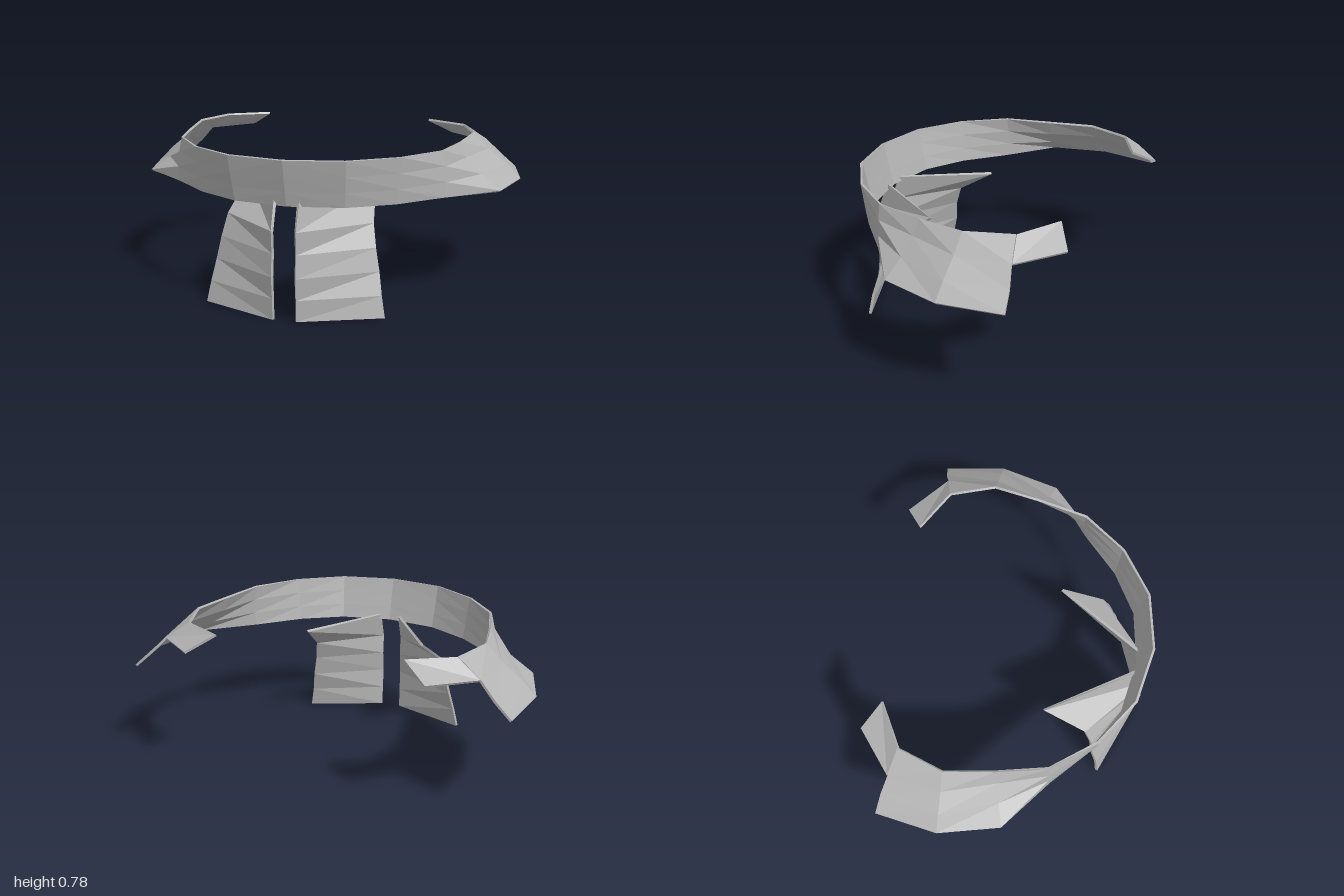
import * as THREE from 'three';

const metal = new THREE.MeshStandardMaterial({ color: 0xb4b4b4 });
metal.name = 'plain grey';

// Closed thin plate from a grid of points: grid[column][row] = [x, y, z]
function plate(name, grid, thickness = 0.012) {
  const nc = grid.length, nr = grid[0].length, n = nc * nr;
  const at = (c, r) => c * nr + r;
  const faces = [];
  for (let c = 0; c < nc - 1; c++) {
    for (let r = 0; r < nr - 1; r++) {
      const a = at(c, r), b = at(c + 1, r), d = at(c, r + 1), e = at(c + 1, r + 1);
      // diagonals mirror about the middle column
      if (c < (nc - 1) / 2) faces.push(a, b, e, a, e, d);
      else faces.push(a, b, d, b, e, d);
    }
  }
  const mid = new THREE.BufferGeometry();
  mid.setAttribute('position', new THREE.Float32BufferAttribute(grid.flat(2), 3));
  mid.setIndex(faces);
  mid.computeVertexNormals();

  // offset the sheet to both sides
  const pos = [], p = new THREE.Vector3(), q = new THREE.Vector3();
  for (const side of [1, -1]) {
    for (let i = 0; i < n; i++) {
      p.fromBufferAttribute(mid.attributes.position, i);
      q.fromBufferAttribute(mid.attributes.normal, i);
      p.addScaledVector(q, side * thickness / 2);
      pos.push(p.x, p.y, p.z);
    }
  }
  const index = [...faces];
  for (let i = 0; i < faces.length; i += 3) index.push(faces[i] + n, faces[i + 2] + n, faces[i + 1] + n);

  // rim around the border
  const loop = [];
  for (let c = 0; c < nc - 1; c++) loop.push(at(c, 0));
  for (let r = 0; r < nr - 1; r++) loop.push(at(nc - 1, r));
  for (let c = nc - 1; c > 0; c--) loop.push(at(c, nr - 1));
  for (let r = nr - 1; r > 0; r--) loop.push(at(0, r));
  loop.forEach((a, i) => {
    const b = loop[(i + 1) % loop.length];
    index.push(a, a + n, b + n, a, b + n, b);
  });

  const solid = new THREE.BufferGeometry();
  solid.setAttribute('position', new THREE.Float32BufferAttribute(pos, 3));
  solid.setIndex(index);
  const flat = solid.toNonIndexed();
  flat.computeVertexNormals();
  const mesh = new THREE.Mesh(flat, metal);
  mesh.name = name;
  return mesh;
}

const mirror = (column) => column.map(([x, y, z]) => [-x, y, z]);

export function createModel() {
  const group = new THREE.Group();
  group.name = 'collarWithFlaps';

  // Collar: [x, z] of each column at four heights, bottom to top, from the front centre to the back end
  const heights = [0.543, 0.615, 0.692, 0.768];
  const half = [
    [[0, 0.6], [0, 0.618], [0, 0.637], [0, 0.655]],
    [[0.265, 0.555], [0.27, 0.57], [0.275, 0.587], [0.278, 0.602]],
    [[0.475, 0.432], [0.485, 0.438], [0.492, 0.444], [0.5, 0.45]],
    [[0.67, 0.25], [0.68, 0.24], [0.672, 0.24], [0.657, 0.24]],
    [[0.92, 0.055], [0.82, 0.03], [0.745, 0.01], [0.71, 0]],
    [[0.993, -0.24], [0.92, -0.24], [0.825, -0.24], [0.747, -0.24]],
    [[0.945, -0.543], [0.865, -0.525], [0.79, -0.497], [0.672, -0.46]],
  ].map((col, i) => col.map(([x, z], r) => [x, heights[r] + (r === 3 && i > 4 ? 0.006 : 0), z]));
  const collar = [...half.slice(1).reverse().map(mirror), ...half];
  group.add(plate('collar', collar));

  // Bent tabs continuing the upper part of the collar ends
  const end = half[half.length - 1];
  const tab = [[end[2], end[3]], [[0.587, 0.699, -0.665], [0.463, 0.774, -0.578]]];
  group.add(plate('leftTab', tab), plate('rightTab', tab.map(mirror)));

  // Front flaps: each row is [y, inner z, outer x, outer z]
  const rows = [
    [0, 0.645, 0.445, 0.49],
    [0.105, 0.648, 0.425, 0.475],
    [0.213, 0.657, 0.405, 0.443],
    [0.323, 0.643, 0.383, 0.427],
    [0.43, 0.65, 0.362, 0.387],
    [0.57, 0.597, 0.325, 0.172],
  ];
  const flap = [
    rows.map(([y, z]) => [0.055, y, z]),
    rows.map(([y, , x, z]) => [x, y, z]),
  ];
  group.add(plate('leftFlap', flap, 0.014), plate('rightFlap', flap.map(mirror), 0.014));

  return group;
}
